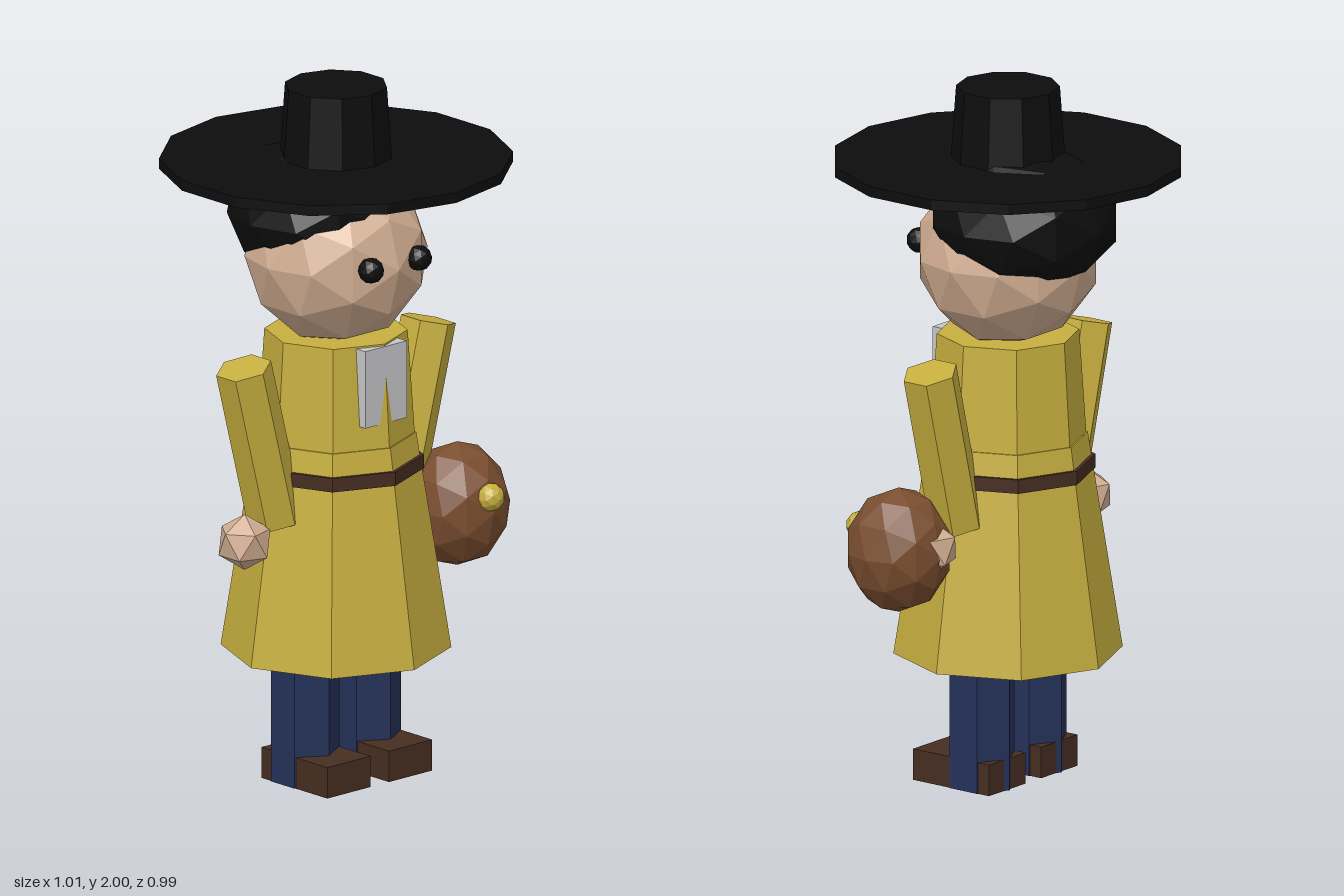
import * as THREE from 'three';

const mat = (name, color) => {
  const m = new THREE.MeshStandardMaterial({ color, flatShading: true });
  m.name = name;
  return m;
};

export function createModel() {
  const black = mat('black felt', 0x0d0d0d);
  const skin = mat('skin', 0xd2ae92);
  const gold = mat('mustard cloth', 0xc6ae3f);
  const navy = mat('navy trousers', 0x253159);
  const leather = mat('dark leather', 0x462d21);
  const brown = mat('brown gourd', 0x7a4e2f);
  const grey = mat('pale grey linen', 0xc6c6c8);

  const model = new THREE.Group();
  model.name = 'figure';
  const body = new THREE.Group();
  body.name = 'body';
  body.position.x = -0.021;
  model.add(body);

  const add = (name, geometry, material, x, y, z) => {
    const mesh = new THREE.Mesh(geometry, material);
    mesh.name = name;
    mesh.position.set(x, y, z);
    body.add(mesh);
    return mesh;
  };
  // Faceted prism or cone frustum between two heights
  const prism = (name, material, rTop, rBottom, y0, y1, sides, x = 0) =>
    add(name, new THREE.CylinderGeometry(rTop, rBottom, y1 - y0, sides), material, x, (y0 + y1) / 2, 0);
  const ball = (name, material, r, x, y, z, detail = 1) =>
    add(name, new THREE.IcosahedronGeometry(r, detail), material, x, y, z);

  // Hat
  prism('hatBrim', black, 0.495, 0.495, 1.765, 1.795, 14);
  prism('hatCrown', black, 0.145, 0.16, 1.79, 2.0, 10);

  // Head and hair
  ball('head', skin, 0.26, 0, 1.515, 0);
  ball('hair', black, 0.27, 0, 1.63, -0.058).scale.y = 0.77;

  // Coat, belt and neck cloth
  prism('coatTop', gold, 0.2, 0.22, 0.985, 1.288, 8);
  prism('coatSkirt', gold, 0.224, 0.322, 0.365, 0.99, 8);
  prism('belt', leather, 0.245, 0.245, 0.885, 0.925, 8);
  add('neckCloth', new THREE.BoxGeometry(0.157, 0.224, 0.04), grey, 0, 1.171, 0.186);

  // Paired parts
  for (const [side, s] of [['left', 1], ['right', -1]]) {
    ball(side + 'Eye', black, 0.037, s * 0.091, 1.53, 0.243);

    const arm = prism(side + 'Arm', gold, 0.08, 0.08, 0.773, 1.253, 6, s * 0.29);
    arm.rotation.z = -s * 0.255;
    ball(side + 'Hand', skin, 0.081, s * 0.347, 0.738, 0, 0).rotation.z = 0.55;

    prism(side + 'Leg', navy, 0.098, 0.098, 0, 0.45, 6, s * 0.117);
    add(side + 'Shoe', new THREE.BoxGeometry(0.164, 0.09, 0.27), leather, s * 0.117, 0.045, 0.045);
  }

  // Gourd flask with its knob
  ball('gourd', brown, 0.15, 0.377, 0.723, 0.09).scale.y = 1.2;
  ball('gourdKnob', gold, 0.041, 0.377, 0.77, 0.226);

  return model;
}
